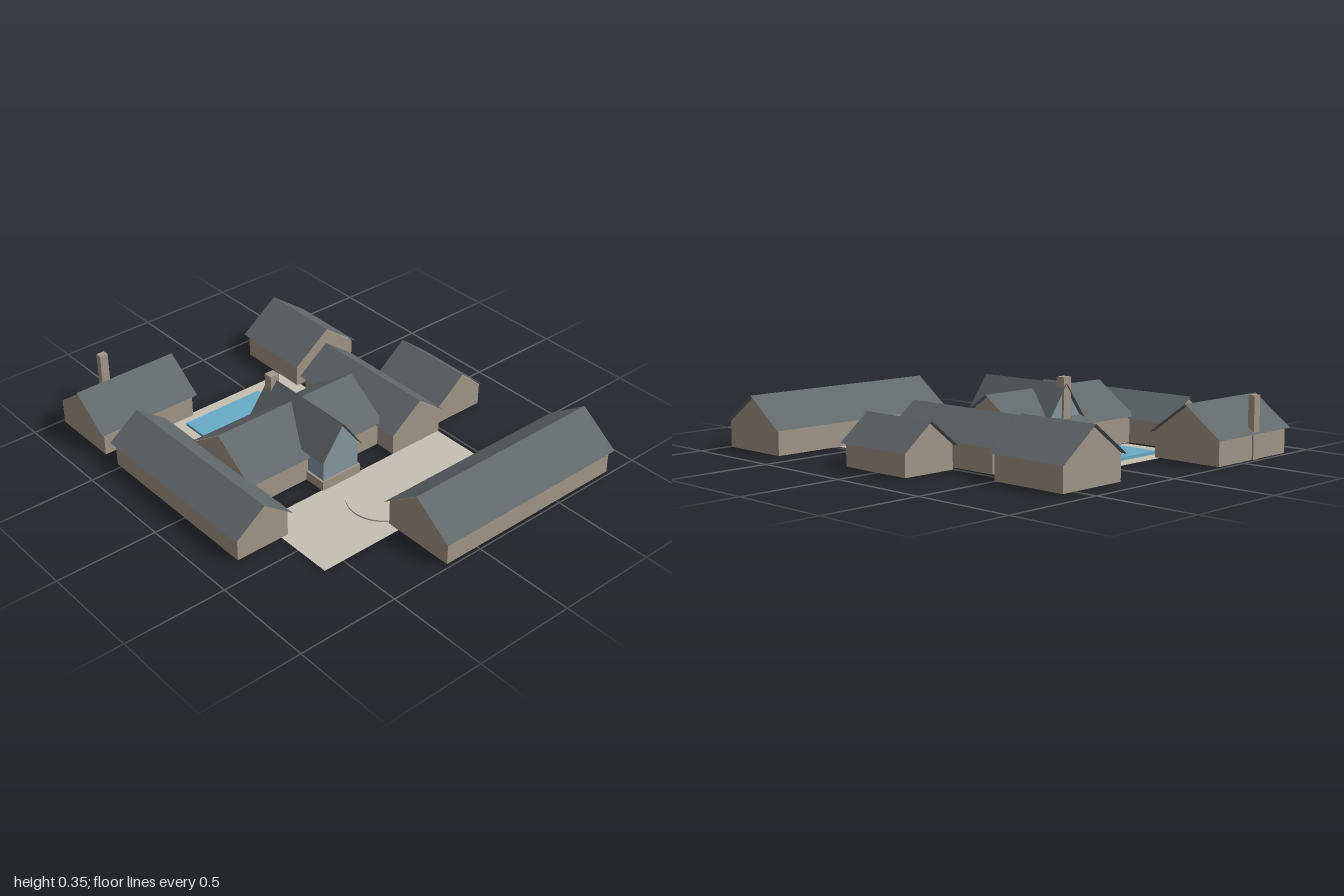
import * as THREE from 'three';

const mat = (name, color, side = THREE.FrontSide) => {
  const m = new THREE.MeshStandardMaterial({ color, side });
  m.name = name;
  return m;
};

export function createModel() {
  const stone = mat('stone', 0xa3988a);
  const slate = mat('slate', 0x63686b, THREE.DoubleSide);
  const paving = mat('paving', 0xc6c0b3, THREE.DoubleSide);
  const water = mat('water', 0x69abc6);
  const glass = mat('glass', 0x8799a2);

  const model = new THREE.Group();
  model.name = 'courtyardHouse';

  const add = (name, geometry, material, parent = model) => {
    const mesh = new THREE.Mesh(geometry, material);
    mesh.name = name;
    parent.add(mesh);
    return mesh;
  };

  const box = (name, material, x0, x1, y0, y1, z0, z1) =>
    add(name, new THREE.BoxGeometry(x1 - x0, y1 - y0, z1 - z0), material)
      .position.set((x0 + x1) / 2, (y0 + y1) / 2, (z0 + z1) / 2);

  // Two sloping sheets meeting on a ridge that runs along z
  const roofSheets = (halfW, halfL, eave, ridge) => {
    const p = [];
    for (const s of [-1, 1]) {
      const a = [s * halfW, eave, s * halfL], b = [s * halfW, eave, -s * halfL];
      const c = [0, ridge, -s * halfL], d = [0, ridge, s * halfL];
      p.push(...a, ...b, ...c, ...a, ...c, ...d);
    }
    const g = new THREE.BufferGeometry();
    g.setAttribute('position', new THREE.Float32BufferAttribute(p, 3));
    g.computeVertexNormals();
    return g;
  };

  // Gabled body, five-sided section run along z
  const gabledBody = (halfW, halfL, base, eave, ridge) => {
    const s = new THREE.Shape();
    s.moveTo(-halfW, base);
    s.lineTo(halfW, base);
    s.lineTo(halfW, eave);
    s.lineTo(0, ridge);
    s.lineTo(-halfW, eave);
    s.closePath();
    return new THREE.ExtrudeGeometry(s, { depth: 2 * halfL, bevelEnabled: false })
      .translate(0, 0, -halfL);
  };

  // Building given by its roof outline; walls sit slightly inside and below
  const hall = ({ name, x, z, eave, ridge, along, base = 0.002, wall = stone }) => {
    const g = new THREE.Group();
    g.name = name;
    const w = (x[1] - x[0]) / 2, l = (z[1] - z[0]) / 2;
    const [hw, hl] = along === 'z' ? [w, l] : [l, w];
    const inset = 0.018, gap = 0.008;
    const wallEave = eave + (ridge - eave) * inset / hw - gap;
    add(name + 'Walls', gabledBody(hw - inset, hl - inset, base, wallEave, ridge - gap), wall, g);
    add(name + 'Roof', roofSheets(hw, hl, eave, ridge), slate, g);
    g.position.set((x[0] + x[1]) / 2, 0, (z[0] + z[1]) / 2);
    if (along === 'x') g.rotation.y = Math.PI / 2;
    model.add(g);
  };

  [
    { name: 'frontBarn', x: [-0.2, 0.857], z: [0.6, 1], eave: 0.12, ridge: 0.265, along: 'x' },
    { name: 'rightWing', x: [-0.86, -0.55], z: [-0.545, 0.405], eave: 0.12, ridge: 0.236, along: 'z' },
    { name: 'leftWing', x: [0.165, 0.497], z: [-0.415, 0.26], eave: 0.12, ridge: 0.246, along: 'z' },
    { name: 'sideAnnex', x: [0.497, 0.81], z: [-0.208, 0.213], eave: 0.107, ridge: 0.232, along: 'z' },
    { name: 'rearLeftHouse', x: [0.198, 0.593], z: [-0.905, -0.485], eave: 0.12, ridge: 0.267, along: 'z' },
    { name: 'rearRightHouse', x: [-0.86, -0.32], z: [-1, -0.608], eave: 0.12, ridge: 0.265, along: 'x' },
    { name: 'mainHall', x: [-0.587, 0.2], z: [-0.302, 0.152], eave: 0.13, ridge: 0.288, along: 'x' },
    // Glazed cross gable through the main hall
    { name: 'glazedEntrance', x: [-0.26, -0.02], z: [-0.265, 0.26], eave: 0.16, ridge: 0.325, along: 'z', base: 0.05, wall: glass },
  ].forEach(hall);

  // Stone plinth under the entrance
  box('entrancePlinth', stone, -0.252, -0.028, 0.002, 0.05, 0.12, 0.25);

  // Chimneys
  box('mainChimney', stone, -0.175, -0.126, 0.15, 0.354, -0.258, -0.213);
  box('rearChimney', stone, -0.628, -0.585, 0.002, 0.295, -0.99, -0.957);

  // Terraces, turning circle and pool
  const terrace = (name, x0, x1, z0, z1) =>
    add(name, new THREE.PlaneGeometry(x1 - x0, z1 - z0).rotateX(-Math.PI / 2), paving)
      .position.set((x0 + x1) / 2, 0, (z0 + z1) / 2);
  terrace('frontTerrace', -0.603, 0.477, 0.24, 0.677);
  terrace('rearTerrace', -0.547, 0.238, -0.647, -0.285);
  add('turningCircle', new THREE.CylinderGeometry(0.167, 0.167, 0.008, 40), paving)
    .position.set(-0.085, 0.005, 0.466);
  box('pool', water, -0.414, 0.024, 0.002, 0.016, -0.575, -0.33);

  return model;
}
